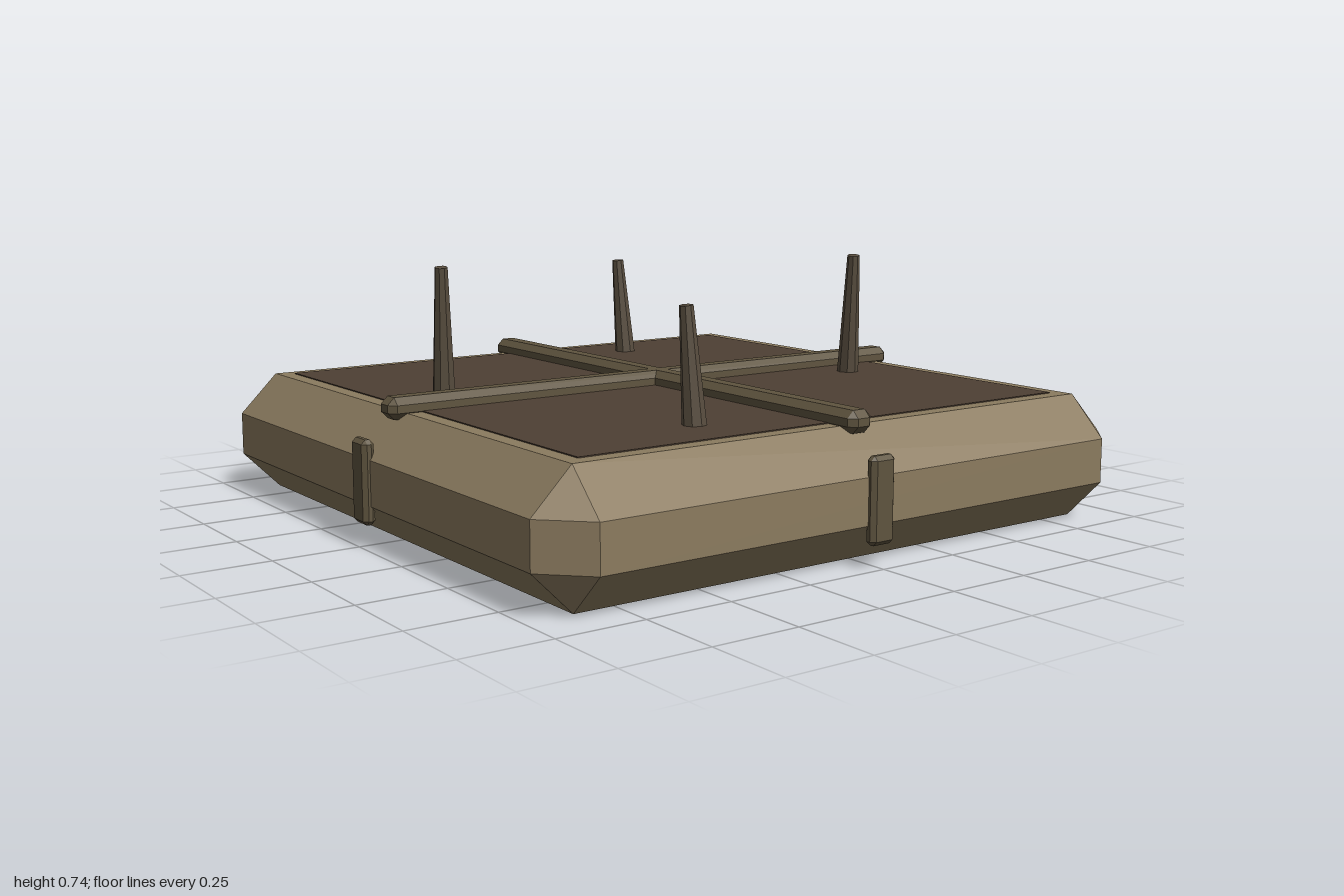
import * as THREE from 'three';
import { ConvexGeometry } from 'three/addons/geometries/ConvexGeometry.js';

const material = (color) => new THREE.MeshStandardMaterial({ color, flatShading: true });

// Box with every edge cut at 45 degrees and a triangle at every corner
function chamferBox(w, h, d, c) {
  const points = [];
  for (const sx of [-1, 1]) for (const sy of [-1, 1]) for (const sz of [-1, 1]) {
    const [x, y, z] = [w / 2, h / 2, d / 2];
    points.push(
      new THREE.Vector3(sx * x, sy * (y - c), sz * (z - c)),
      new THREE.Vector3(sx * (x - c), sy * y, sz * (z - c)),
      new THREE.Vector3(sx * (x - c), sy * (y - c), sz * z));
  }
  return new ConvexGeometry(points);
}

export function createModel() {
  const model = new THREE.Group();
  model.name = 'spikedSlab';
  const stone = material(0x8b7b5f);
  const earth = material(0x4e4034);
  const wood = material(0x5f543f);
  const spikeWood = material(0x5a4f40);

  const add = (name, geometry, mat, x, y, z) => {
    const mesh = new THREE.Mesh(geometry, mat);
    mesh.name = name;
    mesh.position.set(x, y, z);
    model.add(mesh);
    return mesh;
  };

  // Chamfered slab with a dark inset panel on top
  add('slab', chamferBox(1.962, 0.36, 1.962, 0.116), stone, 0, 0.18, 0);
  add('topPanel', new THREE.BoxGeometry(1.64, 0.02, 1.64), earth, 0, 0.353, 0);

  // Crossed bars
  add('crossBarX', chamferBox(1.83, 0.062, 0.08, 0.02), wood, 0, 0.373, 0);
  add('crossBarZ', chamferBox(0.08, 0.062, 1.83, 0.02), wood, 0, 0.373, 0);

  // One upright clip in the middle of each side
  for (let i = 0; i < 4; i++) {
    const a = i * Math.PI / 2;
    const clip = add('sideClip', chamferBox(0.08, 0.236, 0.036, 0.012), wood,
      Math.sin(a) * 0.982, 0.181, Math.cos(a) * 0.982);
    clip.rotation.y = a;
  }

  // Leaning tapered spikes: base and tip
  const spikes = [
    [[-0.645, 0.35, -0.322], [-0.645, 0.678, -0.292]],
    [[0.16, 0.35, -0.625], [0.213, 0.735, -0.594]],
    [[0.64, 0.35, 0.342], [0.64, 0.678, 0.37]],
    [[-0.195, 0.35, 0.627], [-0.142, 0.735, 0.657]],
  ];
  for (const [base, tip] of spikes) {
    const from = new THREE.Vector3(...base);
    const axis = new THREE.Vector3(...tip).sub(from);
    const geometry = new THREE.CylinderGeometry(0.019, 0.034, axis.length(), 8);
    geometry.translate(0, axis.length() / 2, 0);
    const spike = add('spike', geometry, spikeWood, ...base);
    spike.quaternion.setFromUnitVectors(new THREE.Vector3(0, 1, 0), axis.normalize());
  }
  return model;
}
